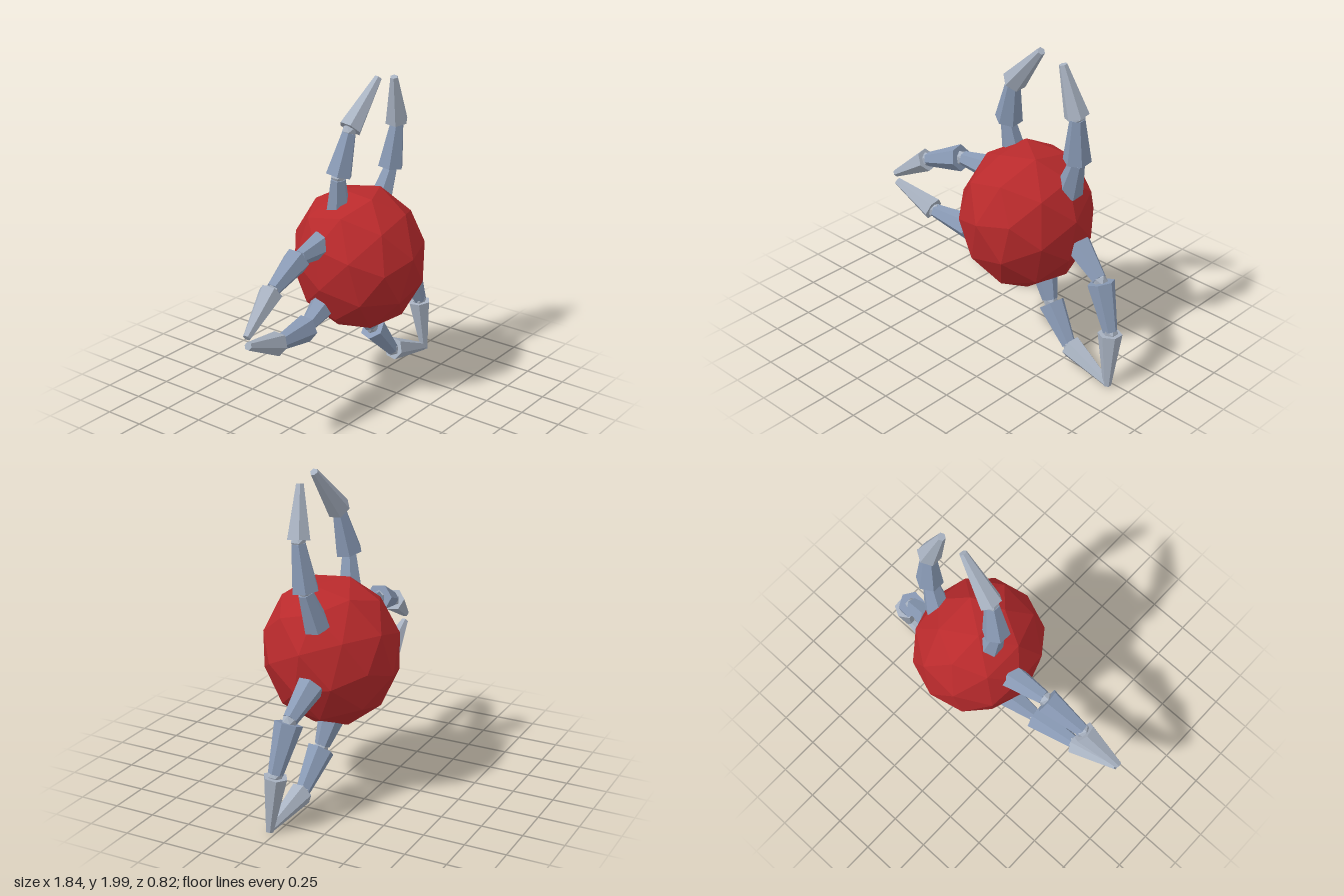
import * as THREE from 'three';

const mat = (name, color) => {
  const m = new THREE.MeshStandardMaterial({ color, flatShading: true });
  m.name = name;
  return m;
};

const red = mat('red body', 0xb92a2c);
const steel = mat('blue grey limb', 0x8a9bb6);
const pale = mat('pale grey tip', 0xa9b3c2);

// Tapered six-sided segment, wide end at a and narrow end at b
function segment(name, a, b, rA, rB, material) {
  const dir = b.clone().sub(a);
  const mesh = new THREE.Mesh(new THREE.CylinderGeometry(rB, rA, dir.length(), 6), material);
  mesh.name = name;
  mesh.position.copy(a).addScaledVector(dir, 0.5);
  mesh.quaternion.setFromUnitVectors(new THREE.Vector3(0, 1, 0), dir.normalize());
  return mesh;
}

// Limb points in x, y: base start, base end, middle start, middle end, tip start, tip end
const LIMBS = {
  upperRightLimb: [0.05, 1.17, 0.01, 1.43, 0.015, 1.45, 0.075, 1.70, 0.085, 1.72, 0.315, 1.98],
  upperLeftLimb: [0.46, 1.13, 0.54, 1.35, 0.54, 1.365, 0.56, 1.64, 0.555, 1.655, 0.475, 1.95],
  rightHighLimb: [-0.12, 1.05, -0.36, 1.05, -0.385, 1.045, -0.64, 0.955, -0.655, 0.945, -0.91, 0.77],
  rightLowLimb: [-0.10, 0.65, -0.29, 0.595, -0.31, 0.585, -0.59, 0.605, -0.61, 0.61, -0.90, 0.715],
  leftLimb: [0.54, 0.80, 0.73, 0.66, 0.745, 0.645, 0.85, 0.37, 0.85, 0.355, 0.87, 0.015],
  lowerLimb: [0.28, 0.53, 0.355, 0.355, 0.37, 0.335, 0.54, 0.13, 0.56, 0.125, 0.87, 0.03],
};
// Every limb leans forward from base to tip
const DEPTH = [-0.055, -0.025, -0.025, 0.005, 0.005, 0.038];

function limb(name, xy) {
  const g = new THREE.Group();
  g.name = name;
  const p = DEPTH.map((z, i) => new THREE.Vector3(xy[2 * i], xy[2 * i + 1], z));
  g.add(
    segment('limbBase', p[0], p[1], 0.083, 0.046, steel),
    segment('limbMiddle', p[2], p[3], 0.083, 0.044, steel),
    segment('limbTip', p[4], p[5], 0.073, 0.024, pale),
  );
  // Small joints between the segments
  for (const i of [1, 3]) {
    const joint = new THREE.Mesh(new THREE.IcosahedronGeometry(0.047, 0), pale);
    joint.name = 'joint';
    joint.position.copy(p[i]).lerp(p[i + 1], 0.5);
    g.add(joint);
  }
  return g;
}

export function createModel() {
  const model = new THREE.Group();
  model.name = 'sixLimbedOrb';

  // Faceted body: a tilted icosphere, slightly taller than wide
  const tilt = new THREE.Matrix4().makeBasis(
    new THREE.Vector3(0.201, -0.961, 0.187),
    new THREE.Vector3(0.978, 0.209, 0.011),
    new THREE.Vector3(-0.05, 0.18, 0.98),
  );
  const ball = new THREE.IcosahedronGeometry(1, 1);
  ball.applyMatrix4(tilt);
  ball.scale(0.396, 0.457, 0.418);
  ball.computeVertexNormals();
  const body = new THREE.Mesh(ball, red);
  body.name = 'body';
  body.position.set(0.185, 0.89, 0);
  model.add(body);

  for (const [name, xy] of Object.entries(LIMBS)) model.add(limb(name, xy));
  return model;
}
